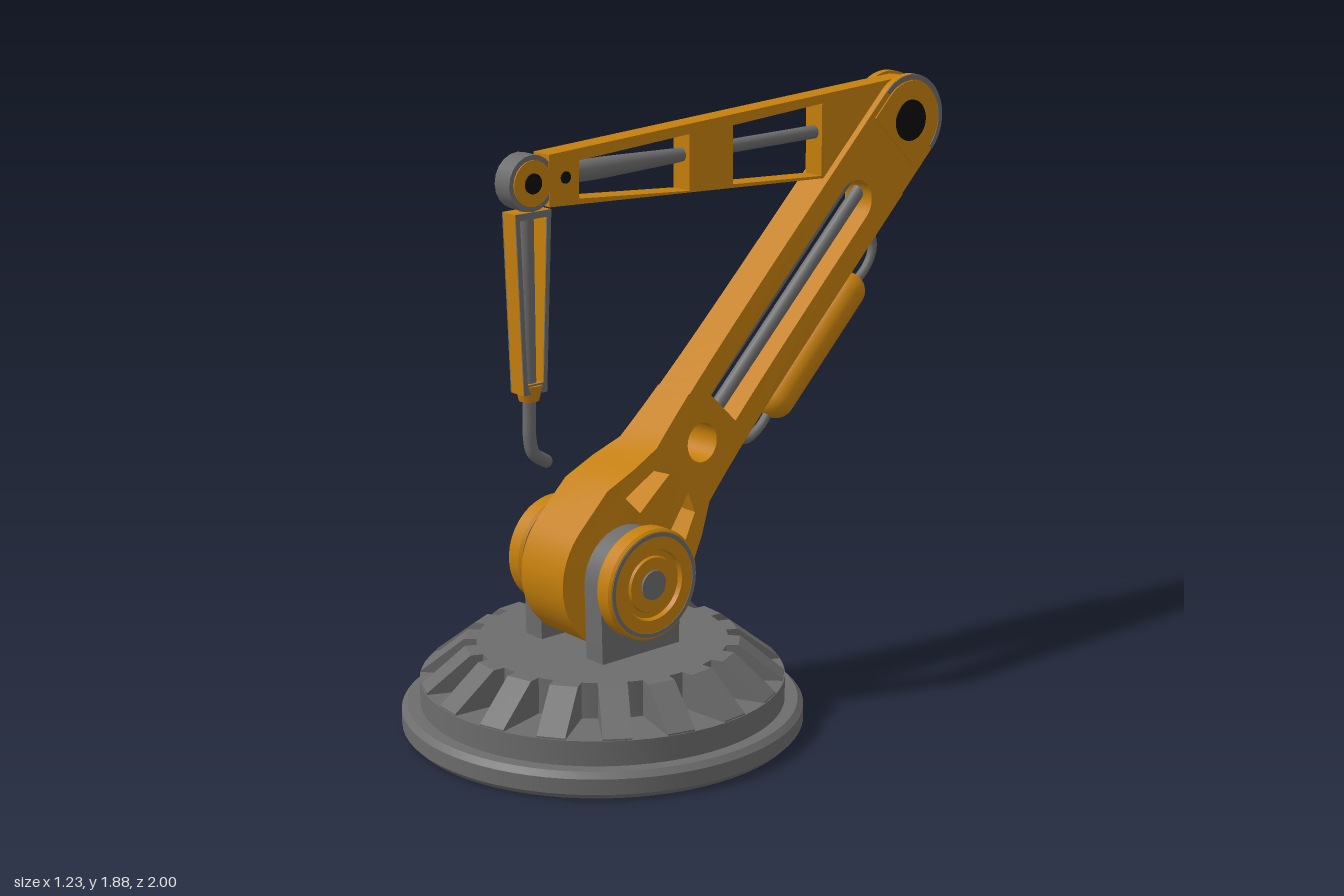
import * as THREE from 'three';
import { toCreasedNormals } from 'three/addons/utils/BufferGeometryUtils.js';

const paint = (name, color) => Object.assign(new THREE.MeshStandardMaterial({ color }), { name });
const V = (x, y, z = 0) => new THREE.Vector3(x, y, z);

export function createModel() {
  const orange = paint('orange paint', 0xc47f0c);
  const grey = paint('grey steel', 0x6c6c6c);
  const black = paint('black pin', 0x0c0c0c);
  const root = new THREE.Group();
  root.name = 'robotArm';

  const add = (parent, name, geo, mat) => {
    const m = new THREE.Mesh(geo, mat);
    m.name = name;
    parent.add(m);
    return m;
  };
  const poly = (pts, ...holes) => {
    const s = new THREE.Shape(pts.map(p => new THREE.Vector2(...p)));
    holes.forEach(h => s.holes.push(new THREE.Path(h.map(p => new THREE.Vector2(...p)))));
    return s;
  };
  // Points along an arc, angles in degrees
  const arc = (cx, cy, r, a0, a1, n = 24) => Array.from({ length: n + 1 }, (_, i) => {
    const a = THREE.MathUtils.degToRad(a0 + (a1 - a0) * i / n);
    return [cx + r * Math.cos(a), cy + r * Math.sin(a)];
  });
  // Extrude from z0 to z1 with creased edges
  const slab = (shape, z0, z1) => {
    const g = new THREE.ExtrudeGeometry(shape, { depth: z1 - z0, bevelEnabled: false });
    g.translate(0, 0, z0);
    return toCreasedNormals(g, 0.6);
  };
  const rod = (parent, name, a, b, r0, r1 = r0, mat = grey) => {
    const m = add(parent, name, new THREE.CylinderGeometry(r1, r0, a.distanceTo(b), 20), mat);
    m.position.copy(a).lerp(b, 0.5);
    m.quaternion.setFromUnitVectors(V(0, 1), b.clone().sub(a).normalize());
  };
  const pipe = (parent, name, pts, r) =>
    add(parent, name, new THREE.TubeGeometry(new THREE.CatmullRomCurve3(pts), 28, r, 12), grey);
  const lathe = (pts, n = 64) =>
    toCreasedNormals(new THREE.LatheGeometry(pts.map(p => new THREE.Vector2(...p)), n), 0.5);

  // Round base with ramped teeth
  const base = new THREE.Group();
  base.name = 'base';
  base.position.z = 0.38;
  root.add(base);
  add(base, 'baseDisc', lathe([[0, 0], [0.6, 0], [0.617, 0.018], [0.617, 0.066], [0.6, 0.083],
    [0.56, 0.083], [0.56, 0.16], [0.385, 0.16], [0.385, 0.272], [0, 0.272]], 72), grey);
  const tooth = slab(poly([[0.36, 0.155], [0.556, 0.155], [0.556, 0.165], [0.42, 0.272], [0.36, 0.272]]), -0.043, 0.043);
  for (let i = 0; i < 18; i++) {
    add(base, 'baseTooth', tooth, grey).rotation.y = (i + 0.25) / 18 * Math.PI * 2;
  }

  // Side frame: local x runs backwards, local z runs to the model's left
  const side = new THREE.Group();
  side.name = 'armAssembly';
  side.rotation.y = Math.PI / 2;
  root.add(side);

  // Shoulder brackets and their flanged discs
  const bracket = poly([[-0.53, 0.26], [-0.23, 0.26], ...arc(-0.38, 0.505, 0.155, 0, 180)]);
  const flange = lathe([[0, 0.18], [0.165, 0.18], [0.172, 0.19], [0.172, 0.238], [0.165, 0.246], [0.11, 0.246],
    [0.105, 0.232], [0.088, 0.232], [0.084, 0.24], [0, 0.24]]);
  for (const s of [-1, 1]) {
    add(side, 'shoulderBracket', slab(bracket, s > 0 ? 0.108 : -0.185, s > 0 ? 0.185 : -0.108), grey);
    const hub = new THREE.Group();
    hub.name = 'shoulderHub';
    hub.position.set(-0.38, 0.505, 0);
    hub.rotation.x = s * Math.PI / 2;
    side.add(hub);
    add(hub, 'shoulderFlange', flange, orange);
    add(hub, 'flangeTrim', lathe([[0.15, 0.244], [0.162, 0.244], [0.162, 0.248], [0.15, 0.248], [0.15, 0.244]]), grey);
    add(hub, 'hubPin', new THREE.CylinderGeometry(0.045, 0.045, 0.03, 32), grey).position.y = 0.233;
  }

  // Lower arm: local x along the arm, y across it
  const lower = new THREE.Group();
  lower.name = 'lowerArm';
  lower.position.set(-0.38, 0.505, 0);
  lower.rotation.z = Math.PI / 4;
  side.add(lower);
  const halfWidth = u => 0.06 + 0.04 * Math.min(1, Math.exp(-(u - 0.26) / 0.25));
  const tapered = (name, shape) => {
    const g = new THREE.ExtrudeGeometry(shape, { depth: 2, bevelEnabled: false });
    const p = g.attributes.position;
    for (let i = 0; i < p.count; i++) p.setZ(i, (p.getZ(i) - 1) * halfWidth(p.getX(i)));
    g.computeVertexNormals();
    add(lower, name, toCreasedNormals(g, 0.6), orange);
  };
  const flip = pts => pts.map(([x, y]) => [x, -y]).reverse();
  const win = [[0.173, 0.156], [0.3, 0.117], [0.329, 0.053], [0.173, 0.074]];
  const edge = [[0.41, 0.15], [0.36, 0.15], [0.26, 0.189], [0.15, 0.231]];
  tapered('lowerArmRoot', poly([...edge, ...arc(0, 0, 0.231, 90, 270, 32), ...flip(edge)], win, flip(win)));
  tapered('lowerArmCollar', poly([[0.41, -0.15], [0.48, -0.15], [0.56, -0.15], [0.56, 0.15], [0.48, 0.15], [0.41, 0.15]],
    arc(0.48, 0, 0.062, 0, 345, 23)));
  const steps = [0.56, 0.61, 0.68, 0.76, 0.88, 1.05, 1.3, 1.56];
  const slotSide = [0.61, 0.68, 0.76, 0.88, 1.05, 1.3].map(u => [u, -0.072]);
  tapered('lowerArmBeam', poly([...steps.map(u => [u, -0.15]), ...steps.map(u => [u, 0.147]).reverse()],
    [...slotSide, ...arc(1.41, 0, 0.072, -90, 90, 12), ...flip(slotSide)]));
  for (const s of [-1, 1]) {
    rod(lower, 'slotRod', V(0.58, s * 0.036), V(1.5, s * 0.036), 0.022);
    rod(lower, 'windowRod', V(0.14, s * 0.13), V(0.36, s * 0.05), 0.02);
    // Elbow fork cheeks with rim, pad and pin
    const layer = (name, shape, a, b, mat) => add(lower, name, slab(shape, s > 0 ? a : -b, s > 0 ? b : -a), mat);
    const tab = r => poly([[1.56, -r], ...arc(1.743, 0, r, -90, 90, 28), [1.56, r]]);
    layer('elbowCheek', tab(0.147), 0.036, 0.06, orange);
    layer('elbowRim', poly([...arc(1.743, 0, 0.146, -90, 90, 28), ...arc(1.743, 0, 0.13, 90, -90, 28)]), 0.059, 0.063, grey);
    layer('elbowPad', poly([[1.65, -0.126], ...arc(1.743, 0, 0.126, -90, 90, 28), [1.65, 0.126]]), 0.059, 0.064, orange);
    layer('elbowPin', poly(arc(1.743, 0, 0.066, 0, 350, 35)), 0.06, 0.068, black);
  }

  // Pressure canister behind the lower arm
  const can = add(side, 'canister', new THREE.CapsuleGeometry(0.061, 0.43, 10, 28), orange);
  can.position.set(0.488, 1.05, 0);
  can.rotation.z = -Math.PI / 4;
  pipe(side, 'canisterPipeLow', [V(0.32, 0.88), V(0.27, 0.82), V(0.21, 0.79), V(0.15, 0.81), V(0.1, 0.86)], 0.015);
  pipe(side, 'canisterPipeHigh', [V(0.66, 1.21), V(0.73, 1.27), V(0.755, 1.33), V(0.735, 1.39), V(0.67, 1.43)], 0.015);

  // Upper arm with two windows and a piston inside
  const upper = poly([[-0.59, 1.647], [0.53, 1.59], [0.7, 1.62], ...arc(0.85, 1.74, 0.135, -70, 95, 28), [-0.59, 1.8]],
    [[-0.48, 1.658], [-0.057, 1.625], [-0.057, 1.797], [-0.48, 1.77]],
    [[0.118, 1.622], [0.49, 1.6], [0.49, 1.828], [0.118, 1.803]]);
  add(side, 'upperArm', slab(upper, -0.036, 0.036), orange);
  rod(side, 'pistonRod', V(-0.1, 1.73), V(0.52, 1.735), 0.021);
  rod(side, 'pistonSleeve', V(-0.36, 1.73), V(-0.07, 1.73), 0.032, 0.022);
  rod(side, 'pistonEnd', V(-0.5, 1.73), V(-0.36, 1.73), 0.032);

  // Wrist joint
  const turned = (name, x, y, r, w, mat) => rod(side, name, V(x, y, -w), V(x, y, w), r, r, mat);
  turned('wristDrum', -0.65, 1.724, 0.083, 0.034, grey);
  turned('wristCap', -0.65, 1.724, 0.068, 0.038, orange);
  turned('wristPin', -0.65, 1.724, 0.03, 0.042, black);
  turned('armStud', -0.53, 1.727, 0.018, 0.039, black);

  // Hanging tool: open frame, centre rod and hooked tip
  const frame = poly([[-0.69, 1.1], [-0.605, 1.1], [-0.58, 1.64], [-0.71, 1.64]],
    [[-0.676, 1.13], [-0.695, 1.62], [-0.596, 1.62], [-0.617, 1.13]]);
  add(side, 'toolFrame', slab(frame, -0.028, 0.028), orange);
  for (const z of [-0.032, 0.028]) add(side, 'toolFrameTrim', slab(frame, z, z + 0.004), grey);
  rod(side, 'toolRod', V(-0.648, 1.12), V(-0.648, 1.65), 0.022);
  rod(side, 'toolCollar', V(-0.648, 1.075), V(-0.648, 1.125), 0.03, 0.042, orange);
  pipe(side, 'toolHook', [V(-0.648, 1.1), V(-0.648, 1.03), V(-0.648, 0.96), V(-0.635, 0.91), V(-0.587, 0.876)], 0.02);
  const tip = add(side, 'hookTip', new THREE.SphereGeometry(0.02, 14, 10), grey);
  tip.position.set(-0.589, 0.877, 0);
  return root;
}
